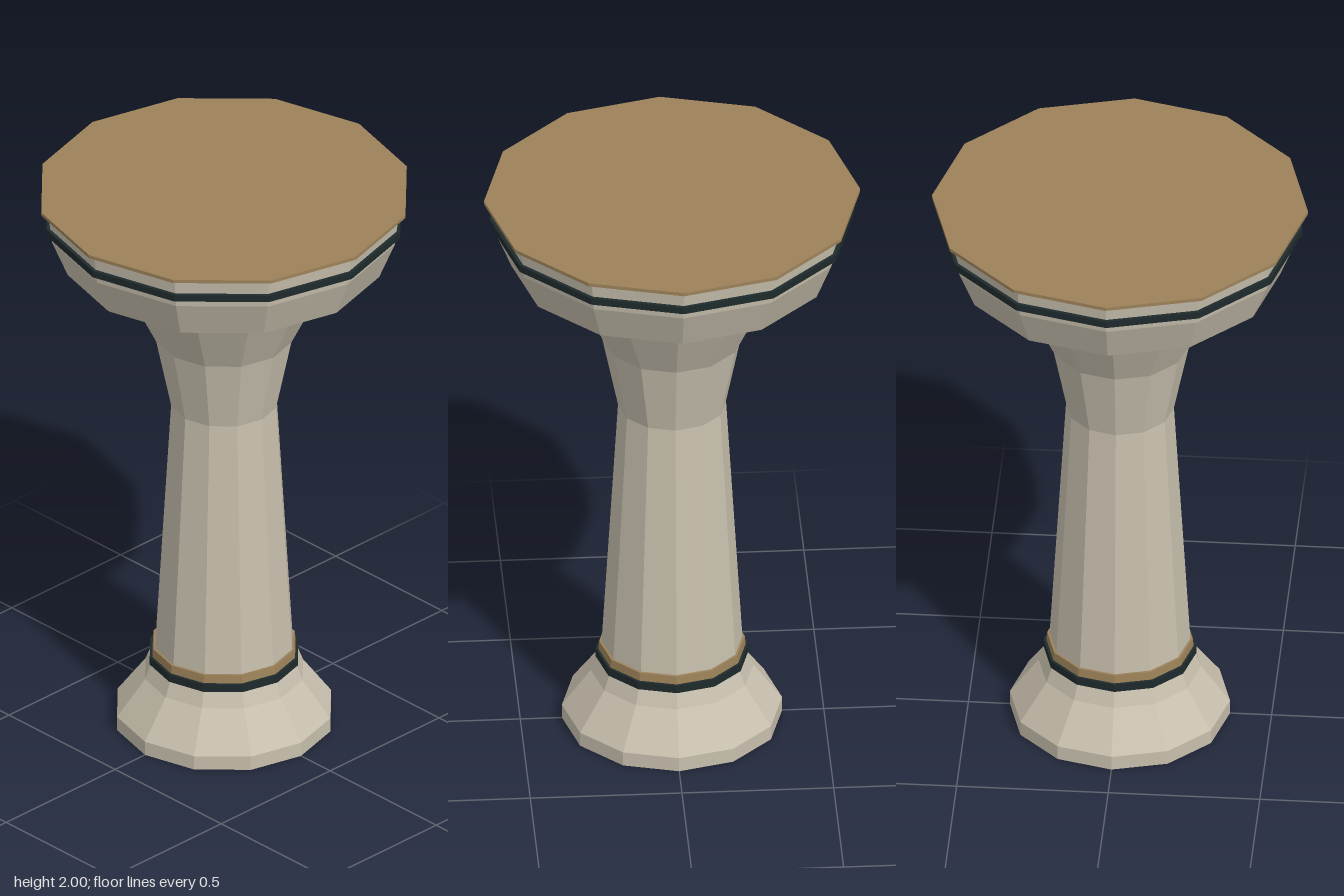
import * as THREE from 'three';

export function createModel() {
  const model = new THREE.Group();
  model.name = 'pedestalTable';

  const material = (name, color) => {
    const m = new THREE.MeshStandardMaterial({ color, flatShading: true });
    m.name = name;
    return m;
  };
  const stone = material('stone', 0xc8c0ae);
  const bronze = material('bronze', 0x9c8259);
  const dark = material('darkTrim', 0x1e2a2c);

  // Twelve-sided tapered section between two heights
  const section = (name, mat, y0, r0, y1, r1, open = false) => {
    const geometry = new THREE.CylinderGeometry(r1, r0, y1 - y0, 12, 1, open);
    const mesh = new THREE.Mesh(geometry, mat);
    mesh.name = name;
    mesh.position.y = (y0 + y1) / 2;
    model.add(mesh);
    return mesh;
  };

  // Foot
  section('footPlinth', stone, 0, 0.363, 0.05, 0.363);
  section('footFlare', stone, 0.05, 0.363, 0.18, 0.268, true);
  section('footNeck', stone, 0.18, 0.268, 0.24, 0.245, true);

  // Bands around the bottom of the column
  section('lowerDarkBand', dark, 0.233, 0.252, 0.261, 0.252);
  section('lowerBronzeBand', bronze, 0.261, 0.243, 0.29, 0.24);

  // Column and capital
  section('shaft', stone, 0.24, 0.235, 1.2, 0.178, true);
  section('shaftFlare', stone, 1.2, 0.178, 1.455, 0.23, true);
  section('capitalFlare', stone, 1.455, 0.23, 1.65, 0.325);
  section('capitalCollar', stone, 1.65, 0.325, 1.75, 0.325);

  // Table head
  section('headLower', stone, 1.75, 0.53, 1.88, 0.583);
  section('headUpper', stone, 1.88, 0.583, 1.99, 0.597);
  section('upperDarkBand', dark, 1.908, 0.602, 1.932, 0.602);
  section('topPlate', bronze, 1.988, 0.62, 2, 0.62);

  // Small round studs under the head
  for (const x of [-0.3, 0.3]) {
    for (const z of [-0.3, 0.3]) {
      const stud = new THREE.Mesh(new THREE.CylinderGeometry(0.042, 0.042, 0.012, 12), stone);
      stud.name = 'underStud';
      stud.position.set(x, 1.746, z);
      model.add(stud);
    }
  }
  return model;
}
